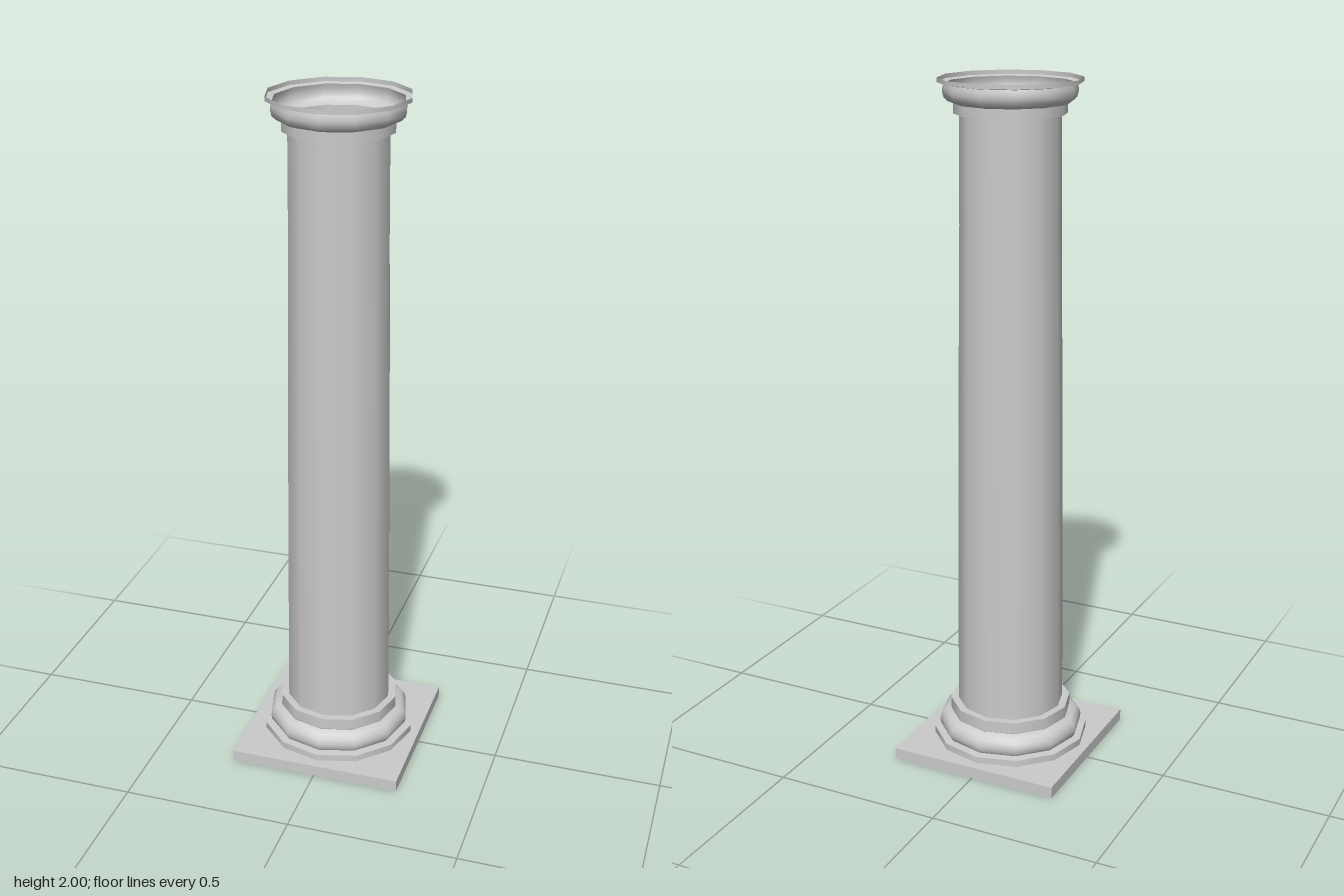
import * as THREE from 'three';

const SIDES = 12;
const material = new THREE.MeshStandardMaterial({ color: 0xcccccc, side: THREE.DoubleSide });
const flatMaterial = new THREE.MeshStandardMaterial({ color: 0xcccccc, side: THREE.DoubleSide, flatShading: true });

// A ring turned from [radius, height] points, smooth within itself
function ring(name, points) {
  const profile = points.map(([r, y]) => new THREE.Vector2(r, y));
  const mesh = new THREE.Mesh(new THREE.LatheGeometry(profile, SIDES), material);
  mesh.name = name;
  return mesh;
}

// Open-bottomed square plinth with a twelve-sided hole in its top
function createPlinth(width, depth, height, holeRadius) {
  const plinth = new THREE.Group();
  plinth.name = 'plinth';

  const wallGeometry = new THREE.CylinderGeometry(Math.SQRT1_2, Math.SQRT1_2, height, 4, 1, true);
  wallGeometry.rotateY(Math.PI / 4).scale(width, 1, depth).translate(0, height / 2, 0);
  const walls = new THREE.Mesh(wallGeometry, flatMaterial);
  walls.name = 'plinthWalls';

  const w = width / 2, d = depth / 2;
  const square = new THREE.Shape([[-w, -d], [w, -d], [w, d], [-w, d]].map(([x, y]) => new THREE.Vector2(x, y)));
  const hole = Array.from({ length: SIDES }, (_, i) => {
    const a = -i / SIDES * Math.PI * 2;
    return new THREE.Vector2(holeRadius * Math.cos(a), holeRadius * Math.sin(a));
  });
  square.holes.push(new THREE.Path(hole));
  const top = new THREE.Mesh(new THREE.ShapeGeometry(square).rotateX(-Math.PI / 2).translate(0, height, 0), flatMaterial);
  top.name = 'plinthTop';

  plinth.add(walls, top);
  return plinth;
}

export function createModel() {
  const column = new THREE.Group();
  column.name = 'column';
  column.add(createPlinth(0.514, 0.52, 0.035, 0.231));

  // Base mouldings, from the plinth up
  const base = new THREE.Group();
  base.name = 'base';
  base.add(
    ring('baseFillet', [[0.231, 0.035], [0.231, 0.055]]),
    ring('baseFilletLedge', [[0.231, 0.055], [0.207, 0.057]]),
    ring('baseTorus', [[0.207, 0.057], [0.213, 0.066], [0.215, 0.08], [0.211, 0.097], [0.2, 0.109], [0.182, 0.116]]),
    ring('baseBand', [[0.18, 0.116], [0.18, 0.15]]),
    ring('baseBandLedge', [[0.18, 0.15], [0.158, 0.15]])
  );

  // Hollow shaft with a slight swelling
  const shaft = ring('shaft', [[0.158, 0.15], [0.155, 0.5], [0.151, 0.9], [0.147, 1.25], [0.142, 1.6], [0.14, 1.905]]);

  // Capital mouldings, open at the top
  const capital = new THREE.Group();
  capital.name = 'capital';
  capital.add(
    ring('capitalBandLedge', [[0.14, 1.905], [0.156, 1.905]]),
    ring('capitalBand', [[0.156, 1.905], [0.156, 1.933]]),
    ring('capitalBulge', [[0.156, 1.933], [0.171, 1.938], [0.181, 1.948], [0.185, 1.962], [0.184, 1.975], [0.181, 1.985]]),
    ring('capitalLipLedge', [[0.181, 1.985], [0.199, 1.988]]),
    ring('capitalLip', [[0.199, 1.988], [0.199, 2]])
  );

  column.add(base, shaft, capital);
  return column;
}
